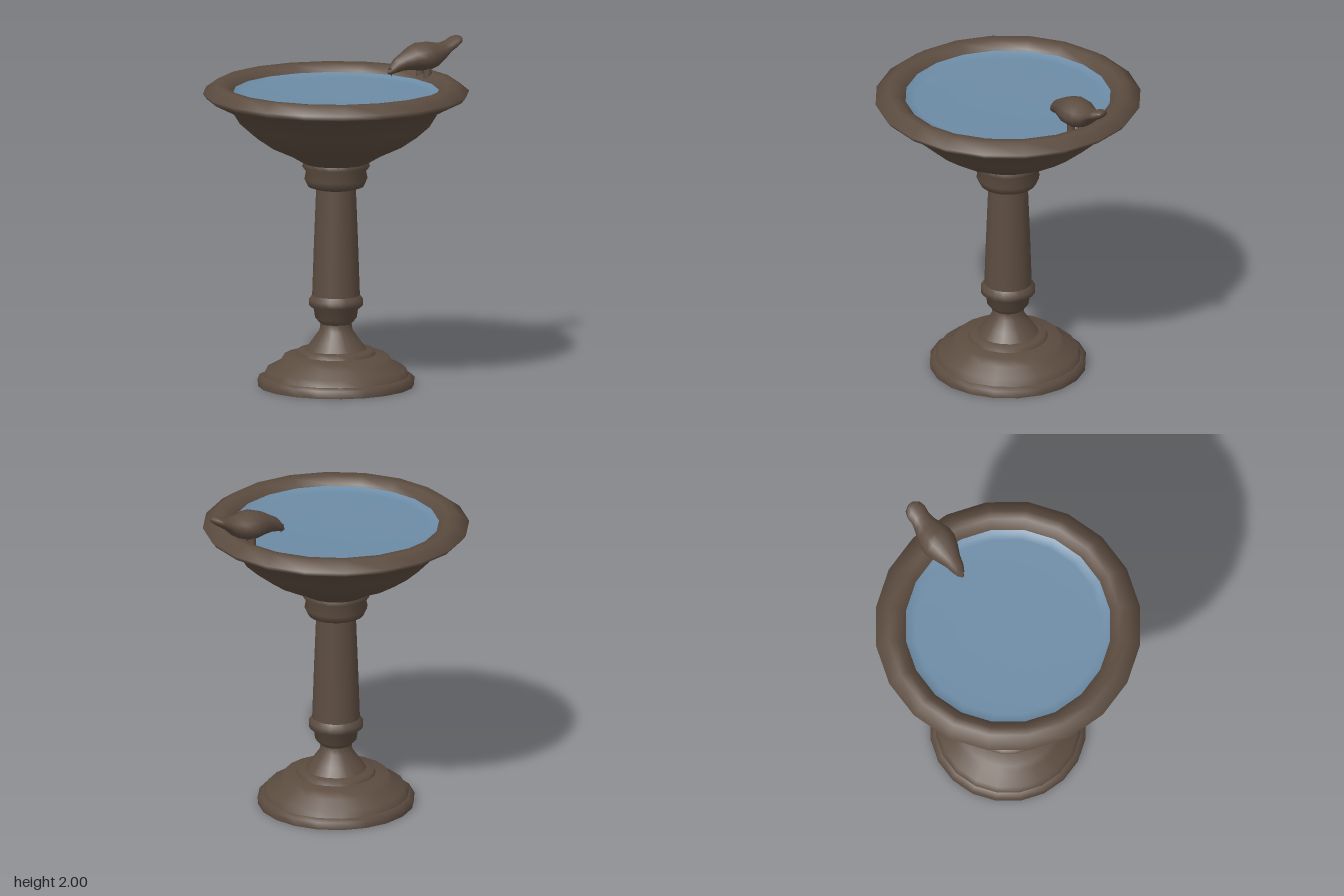
import * as THREE from 'three';

const SIDES = 20;

export function createModel() {
  const model = new THREE.Group();
  const stone = new THREE.MeshStandardMaterial({ color: 0x5c4c40 });
  stone.name = 'brown stone';
  const blue = new THREE.MeshStandardMaterial({ color: 0x6c8ba5 });
  blue.name = 'water blue';

  const add = (name, geometry, material = stone) => {
    const mesh = new THREE.Mesh(geometry, material);
    mesh.name = name;
    model.add(mesh);
    return mesh;
  };
  // Turned part from [radius, height] pairs, listed upward along the outside
  const turn = (name, profile, material) =>
    add(name, new THREE.LatheGeometry(profile.map(([r, y]) => new THREE.Vector2(r, y)), SIDES), material);

  // Pedestal
  turn('baseUnderside', [[0, 0], [0.46, 0]]);
  turn('basePlinth', [[0.46, 0], [0.462, 0.045], [0.43, 0.06]]);
  turn('baseDome', [[0.43, 0.06], [0.41, 0.1], [0.333, 0.14], [0.307, 0.18], [0.2, 0.19]]);
  turn('baseRing', [[0.235, 0.185], [0.222, 0.215], [0.17, 0.217]]);
  turn('baseNeck', [[0.183, 0.213], [0.14, 0.27], [0.097, 0.33], [0.092, 0.37]]);
  turn('lowerCollar', [[0.092, 0.37], [0.123, 0.405], [0.13, 0.455], [0.16, 0.48], [0.16, 0.513], [0.14, 0.54]]);
  turn('shaft', [[0.141, 0.53], [0.13, 0.85], [0.117, 1.18]]);
  turn('capital', [[0.115, 1.175], [0.165, 1.19], [0.186, 1.235], [0.177, 1.28], [0.2, 1.31], [0.19, 1.335]]);

  // Basin: underside, rounded rim and inner lip
  turn('basinUnderside', [[0.17, 1.33], [0.19, 1.33], [0.275, 1.38], [0.397, 1.436], [0.49, 1.5],
    [0.566, 1.567], [0.614, 1.645], [0.76, 1.718]]);
  turn('basinRim', [[0.76, 1.718], [0.785, 1.75], [0.71, 1.803], [0.66, 1.798], [0.61, 1.765], [0.595, 1.72]]);

  // Water, curving up where it meets the lip
  turn('water', [[0.608, 1.757], [0.585, 1.745], [0.55, 1.738], [0.3, 1.736], [0, 1.736]], blue);

  // Bird: oval cross-sections from beak to tail [distance, centre height, half width, half height]
  const sections = [
    [0, 1.82, 0.006, 0.008], [0.02, 1.835, 0.026, 0.026], [0.05, 1.857, 0.042, 0.042],
    [0.1, 1.876, 0.056, 0.052], [0.16, 1.892, 0.085, 0.07], [0.22, 1.897, 0.106, 0.085],
    [0.27, 1.897, 0.106, 0.084], [0.32, 1.899, 0.09, 0.072], [0.37, 1.912, 0.07, 0.053],
    [0.41, 1.935, 0.06, 0.038], [0.45, 1.958, 0.064, 0.034], [0.485, 1.973, 0.052, 0.026],
    [0.505, 1.978, 0.018, 0.012],
  ];
  const start = new THREE.Vector3(0.24, 0, -0.305);
  const along = new THREE.Vector3(0.69, 0, -0.724);
  const across = new THREE.Vector3(0.724, 0, 0.69);
  const place = (s, y, side) => start.clone().addScaledVector(along, s).addScaledVector(across, side).setY(y);

  const ring = 12, positions = [], indices = [];
  for (const [s, y, w, h] of sections) {
    for (let i = 0; i < ring; i++) {
      const a = (i / ring) * Math.PI * 2;
      positions.push(...place(s, y + Math.sin(a) * h, Math.cos(a) * w).toArray());
    }
  }
  const last = sections.length - 1;
  for (let j = 0; j < last; j++) {
    for (let i = 0; i < ring; i++) {
      const a = j * ring + i, b = j * ring + (i + 1) % ring;
      indices.push(a, b, a + ring, b, b + ring, a + ring);
    }
  }
  for (let i = 1; i < ring - 1; i++) {
    indices.push(0, i + 1, i);
    indices.push(last * ring, last * ring + i, last * ring + i + 1);
  }
  // Make every face point outward whichever way the section frame turns
  const frameSign = new THREE.Vector3().crossVectors(across, new THREE.Vector3(0, 1, 0)).dot(along);
  if (frameSign < 0) {
    for (let k = 0; k < indices.length; k += 3) [indices[k], indices[k + 1]] = [indices[k + 1], indices[k]];
  }
  const birdGeometry = new THREE.BufferGeometry();
  birdGeometry.setAttribute('position', new THREE.Float32BufferAttribute(positions, 3));
  birdGeometry.setIndex(indices);
  birdGeometry.computeVertexNormals();
  add('birdBody', birdGeometry);

  // Lowered beak and short legs
  const beak = add('birdBeak', new THREE.ConeGeometry(0.02, 0.05, 8));
  beak.position.copy(place(0.022, 1.822, 0));
  beak.rotation.x = Math.PI;
  for (const side of [-1, 1]) {
    const leg = add(side < 0 ? 'birdRightLeg' : 'birdLeftLeg', new THREE.CylinderGeometry(0.022, 0.026, 0.09, 8));
    leg.position.copy(place(0.25, 1.815, side * 0.04));
  }

  return model;
}
